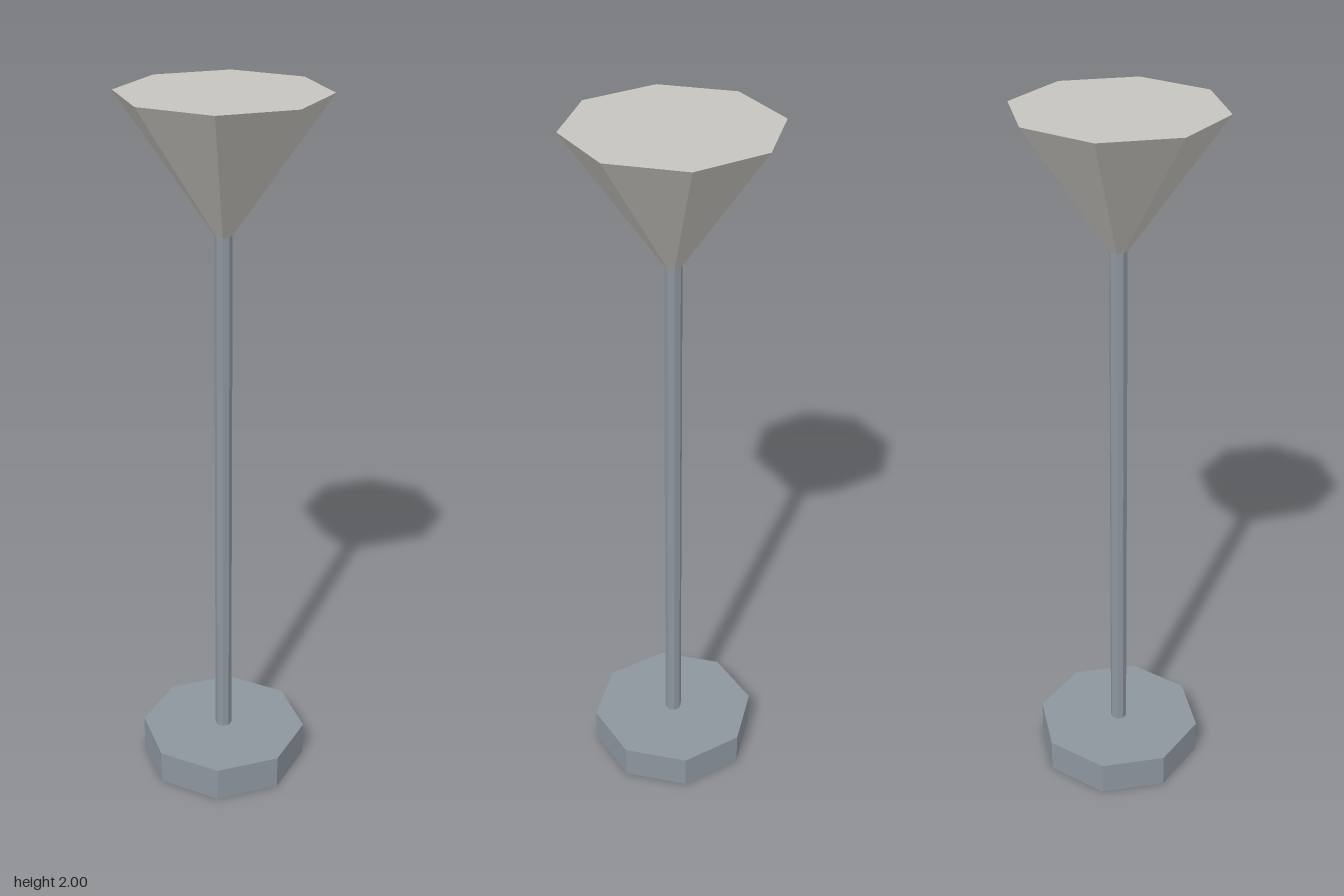
import * as THREE from 'three';

export function createModel() {
  const group = new THREE.Group();
  const metal = new THREE.MeshStandardMaterial({ color: 0x8d959e, flatShading: true });
  metal.name = 'grey metal';
  const glass = new THREE.MeshStandardMaterial({ color: 0xc6c4be, flatShading: true });
  glass.name = 'pale shade';

  // Eight-sided section standing between two heights, corners on the axes
  function section(name, material, bottomRadius, topRadius, y0, y1) {
    const geometry = new THREE.CylinderGeometry(topRadius, bottomRadius, y1 - y0, 8);
    const mesh = new THREE.Mesh(geometry, material);
    mesh.name = name;
    mesh.position.y = (y0 + y1) / 2;
    group.add(mesh);
  }

  section('base', metal, 0.242, 0.242, 0, 0.1);
  section('pole', metal, 0.024, 0.024, 0.1, 1.64);
  section('shade', glass, 0.024, 0.279, 1.63, 2);

  return group;
}
